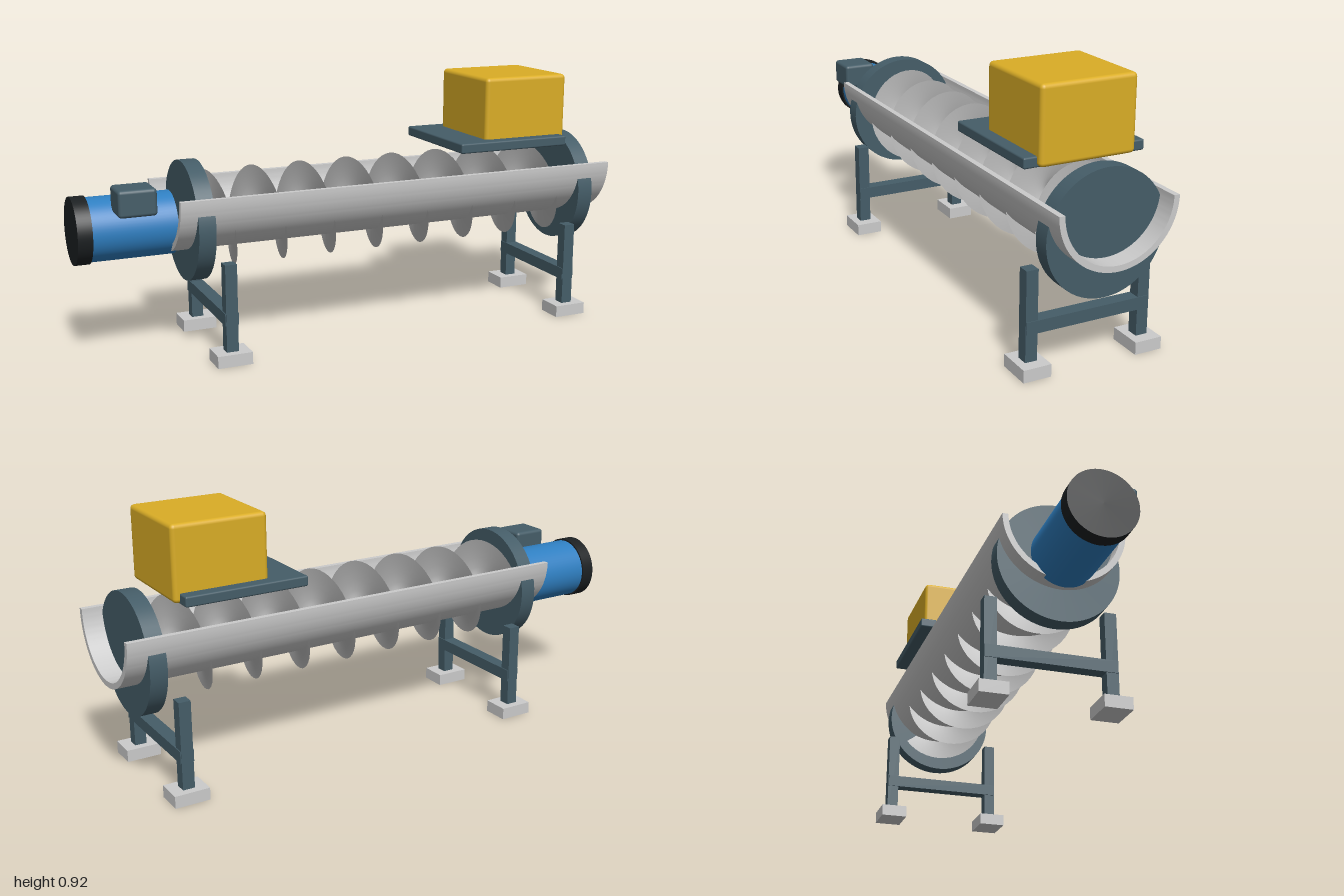
import * as THREE from 'three';
import { toCreasedNormals } from 'three/addons/utils/BufferGeometryUtils.js';
import { RoundedBoxGeometry } from 'three/addons/geometries/RoundedBoxGeometry.js';
import { ParametricGeometry } from 'three/addons/geometries/ParametricGeometry.js';

const material = (color, side = THREE.FrontSide) => new THREE.MeshStandardMaterial({ color, side });

export function createModel() {
  const model = new THREE.Group();
  model.name = 'screwConveyor';
  const grey = material(0xcccccc);
  const steel = material(0x455d68);
  const blue = material(0x2f7fc1);
  const black = material(0x1c2022);
  const yellow = material(0xdaad26);
  const axisY = 0.463;

  const add = (name, geometry, mat, parent = model) => {
    const mesh = new THREE.Mesh(geometry, mat);
    mesh.name = name;
    parent.add(mesh);
    return mesh;
  };
  // Box given by its limits on each axis, with optional rounded edges
  const box = (name, [x0, x1], [y0, y1], [z0, z1], mat, radius = 0, parent = model) => {
    const size = [x1 - x0, y1 - y0, z1 - z0];
    const geometry = radius ? new RoundedBoxGeometry(...size, 3, radius) : new THREE.BoxGeometry(...size);
    add(name, geometry, mat, parent).position.set((x0 + x1) / 2, (y0 + y1) / 2, (z0 + z1) / 2);
  };
  // Cylinder lying along x on the screw axis
  const drum = (name, x0, x1, radius, mat) => {
    const geometry = new THREE.CylinderGeometry(radius, radius, x1 - x0, 64).rotateZ(Math.PI / 2);
    add(name, geometry, mat).position.set((x0 + x1) / 2, axisY, 0);
  };

  // Open half-round trough
  const section = new THREE.Shape();
  section.absarc(0, 0, 0.21, Math.PI, Math.PI * 2, false);
  section.absarc(0, 0, 0.19, Math.PI * 2, Math.PI, true);
  section.closePath();
  const troughGeometry = new THREE.ExtrudeGeometry(section, { depth: 1.68, bevelEnabled: false, curveSegments: 40 });
  troughGeometry.rotateY(Math.PI / 2);
  add('trough', toCreasedNormals(troughGeometry, 0.6), grey).position.set(-0.68, 0.575, 0);

  // Bearing discs and screw shaft
  drum('rearDisc', -0.62, -0.56, 0.21, steel);
  drum('frontDisc', 0.87, 0.93, 0.21, steel);
  drum('shaft', -0.6, 0.9, 0.032, steel);

  // Helical flight
  const start = -0.57, end = 0.88, pitch = 0.183, crest = -0.53;
  const flight = new ParametricGeometry((u, v, target) => {
    const x = start + (end - start) * u;
    const angle = ((x - crest) / pitch) * Math.PI * 2;
    const r = 0.028 + (0.172 - 0.028) * v;
    target.set(x, axisY + r * Math.cos(angle), r * Math.sin(angle));
  }, 320, 4);
  add('screwFlight', flight, material(0xb4b4b4, THREE.DoubleSide));

  // Drive motor with end cap and terminal box
  drum('motor', -0.95, -0.66, 0.11, blue);
  drum('motorCap', -1, -0.95, 0.116, black);
  box('terminalBox', [-0.875, -0.745], [0.53, 0.622], [0.05, 0.172], steel, 0.012);

  // Feed hopper on its platform
  box('hopperPlatform', [0.36, 0.8], [0.656, 0.692], [-0.215, 0.215], steel, 0.006);
  box('hopper', [0.483, 0.82], [0.658, 0.916], [-0.17, 0.17], yellow, 0.015);

  // Support frames
  for (const x of [-0.518, 0.826]) {
    const frame = new THREE.Group();
    frame.name = 'supportFrame';
    frame.position.x = x;
    model.add(frame);
    for (const side of [-1, 1]) {
      const z = side * 0.205;
      box('leg', [-0.021, 0.021], [0.02, 0.35], [z - 0.021, z + 0.021], steel, 0, frame);
      box('foot', [-0.062, 0.062], [0, 0.043], [z - 0.049, z + 0.049], grey, 0, frame);
    }
    box('crossbar', [-0.024, 0.024], [0.137, 0.18], [-0.224, 0.224], steel, 0, frame);
  }
  return model;
}
